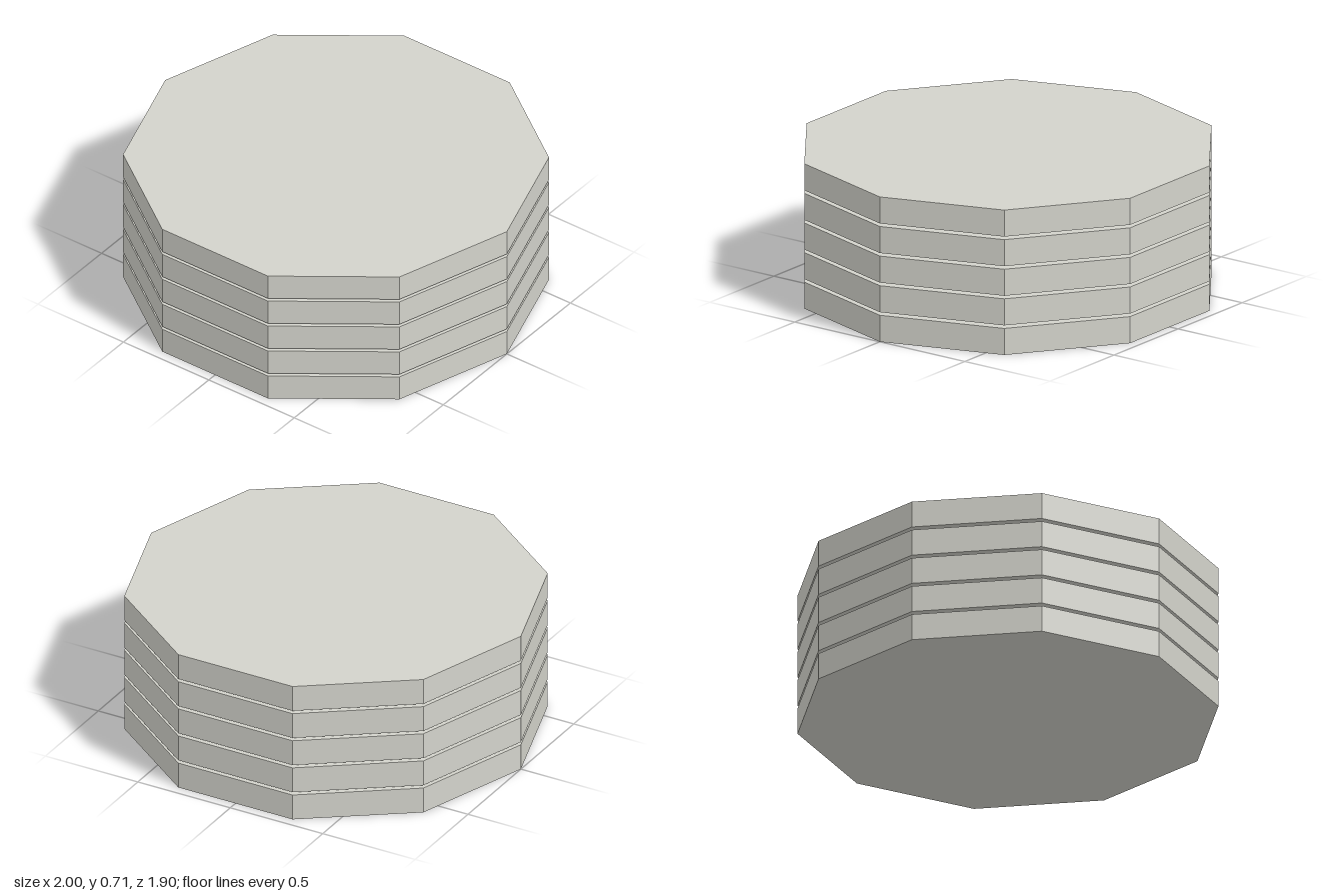
import * as THREE from 'three';

const SIDES = 10;
const COUNT = 5;
const THICKNESS = 0.131;
const PITCH = 0.146; // disc thickness plus the thin gap above it

export function createModel() {
  const group = new THREE.Group();
  group.name = 'discStack';

  const paleGrey = new THREE.MeshStandardMaterial({ color: 0xd3d3cb });
  paleGrey.name = 'paleGrey';

  // Ten-sided disc with corners on the x axis and flat facets
  const disc = new THREE.CylinderGeometry(1, 1, THICKNESS, SIDES, 1, false, Math.PI / 2).toNonIndexed();
  disc.computeVertexNormals();

  // Evenly spaced stack
  for (let i = 0; i < COUNT; i++) {
    const mesh = new THREE.Mesh(disc, paleGrey);
    mesh.name = `disc${i + 1}`;
    mesh.position.y = THICKNESS / 2 + i * PITCH;
    group.add(mesh);
  }
  return group;
}
